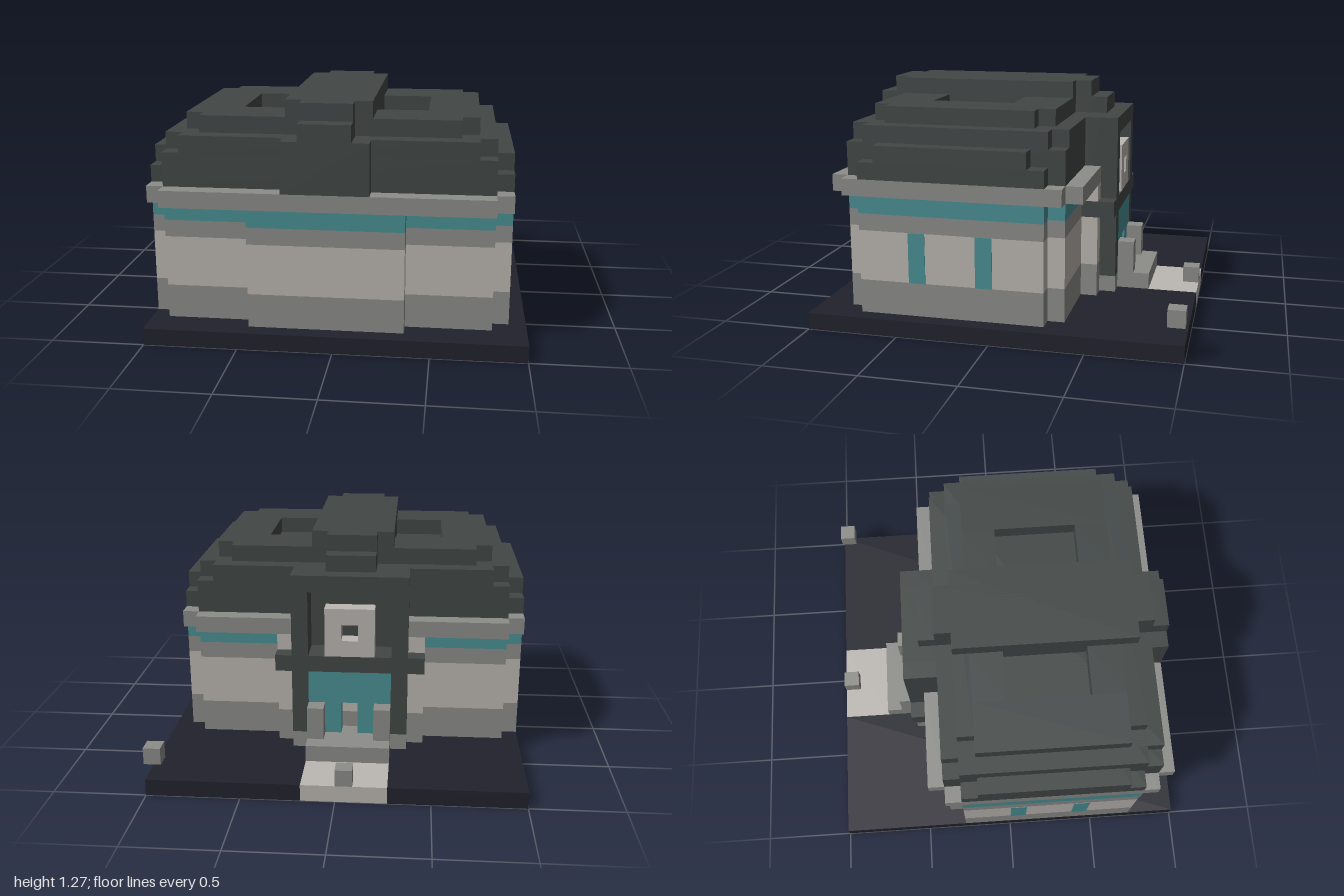
import * as THREE from 'three';

const U = 1 / 11; // one block; the plan is 22 x 22 blocks

export function createModel() {
  const model = new THREE.Group();
  model.name = 'domedHall';
  const mat = (name, color) => {
    const m = new THREE.MeshStandardMaterial({ color });
    m.name = name;
    return m;
  };
  const navy = mat('navyGround', 0x22222d);
  const slate = mat('slateRoof', 0x424847);
  const gray = mat('grayStone', 0x8d8d8a);
  const beige = mat('beigeStone', 0xbcb7b2);
  const teal = mat('tealGlass', 0x4a9195);

  // Box between block coordinates, counted from the left back corner of the ground
  function box(name, material, [x0, x1], [y0, y1], [z0, z1]) {
    const geo = new THREE.BoxGeometry((x1 - x0) * U, (y1 - y0) * U, (z1 - z0) * U);
    const mesh = new THREE.Mesh(geo, material);
    mesh.position.set((x0 + x1) / 2 * U - 1, (y0 + y1) / 2 * U, (z0 + z1) / 2 * U - 1);
    mesh.name = name;
    model.add(mesh);
  }
  // Same box on both sides of the building's middle (x = 10.5)
  function pair(name, material, [x0, x1], y, z) {
    box(name, material, [x0, x1], y, z);
    box(name, material, [21 - x1, 21 - x0], y, z);
  }

  // Ground slab with the path let into it
  box('ground', navy, [0, 8], [0, 1], [0, 22]);
  box('ground', navy, [13, 22], [0, 1], [0, 22]);
  box('ground', navy, [8, 13], [0, 1], [3, 22]);
  box('path', beige, [8, 13], [0, 1], [0, 3]);
  box('pathBlock', gray, [10, 11], [1, 2], [0, 1]);
  box('cornerBlock', gray, [21, 22], [2, 3], [0, 1]);

  // Walls in coloured courses, stepped at the corners and at the front bay
  const courses = [
    ['wallFoot', gray, [1, 3]],
    ['wall', beige, [3, 6]],
    ['wallBand', gray, [6, 7]],
    ['glassBand', teal, [7, 8]],
  ];
  for (const [name, m, y] of courses) {
    box(name, m, [0, 21], y, [8, 19]);
    box(name, m, [1, 20], y, [7, 20]);
    box(name, m, [6, 15], y, [19, 21]);
  }
  // Back bay behind the portal
  box('backBayFoot', gray, [6, 15], [1, 3], [6, 7]);
  box('backBay', beige, [6, 15], [3, 6], [6, 7]);
  pair('backBayTop', beige, [6, 7], [7, 8], [6, 7]);
  // Slit windows on both sides
  for (const z of [11, 15]) {
    pair('sideWindow', teal, [-0.04, 0.04], [3, 6], [z, z + 1]);
  }

  // Cornice
  box('cornice', gray, [0, 21], [8, 9], [7, 20]);
  box('cornice', gray, [1, 20], [8, 9], [20, 21]);
  pair('cornice', gray, [1, 7], [8, 9], [6, 7]);

  // Stepped roof, each tier a rounded plan
  const tiers = [
    [[0, 21], [9, 10], [8, 19]],
    [[1, 20], [9, 11], [7, 20]],
    [[0, 21], [10, 11], [9, 18]],
    [[1, 20], [11, 12], [8, 19]],
    [[2, 19], [11, 12], [7, 20]],
    [[3, 18], [12, 13], [8, 9]],
    [[3, 18], [12, 13], [18, 19]],
  ];
  for (const t of tiers) box('roofTier', slate, ...t);
  // Top tier around the two sunken panels
  pair('roofTop', slate, [2, 5], [12, 13], [9, 18]);
  pair('roofTop', slate, [5, 8], [12, 13], [9, 11]);
  pair('roofTop', slate, [5, 8], [12, 13], [16, 18]);

  // Ridge running front to back
  box('ridge', slate, [8, 13], [12, 14], [8, 19]);
  box('ridge', slate, [9, 12], [12, 14], [7, 20]);
  box('ridgeFront', slate, [8, 13], [9, 12], [20, 21]);
  box('ridgeFront', slate, [9, 12], [12, 13], [20, 21]);
  box('ridgeBack', slate, [9, 12], [12, 13], [6, 7]);

  // Portal frame on the back
  pair('portalPillar', slate, [7, 8], [2, 12], [5, 6]);
  box('portalHeader', slate, [8, 13], [11, 12], [5, 7]);
  box('portalLintel', slate, [6, 15], [6, 7], [5, 7]);
  pair('alcoveSide', slate, [7, 8], [7, 12], [6, 7]);
  box('alcoveBack', slate, [8, 13], [7, 11], [6.92, 7]);
  box('portalFoot', gray, [7, 14], [1, 2], [5, 6]);

  // Glass door with a narrow opening
  pair('glassDoor', teal, [8, 10], [2, 6], [5.02, 6]);
  box('glassDoorTop', teal, [10, 11], [4, 6], [5.02, 6]);

  // Square stone ring above the door
  pair('ringSide', beige, [9, 10], [7, 10], [5, 6]);
  box('ringBottom', beige, [10, 11], [7, 8], [5, 6]);
  box('ringTop', beige, [10, 11], [9, 10], [5, 6]);

  // Doorstep and its posts
  box('doorstep', gray, [8, 13], [1, 2], [3, 5]);
  pair('stepPost', gray, [8, 9], [2, 4], [4, 5]);

  return model;
}
